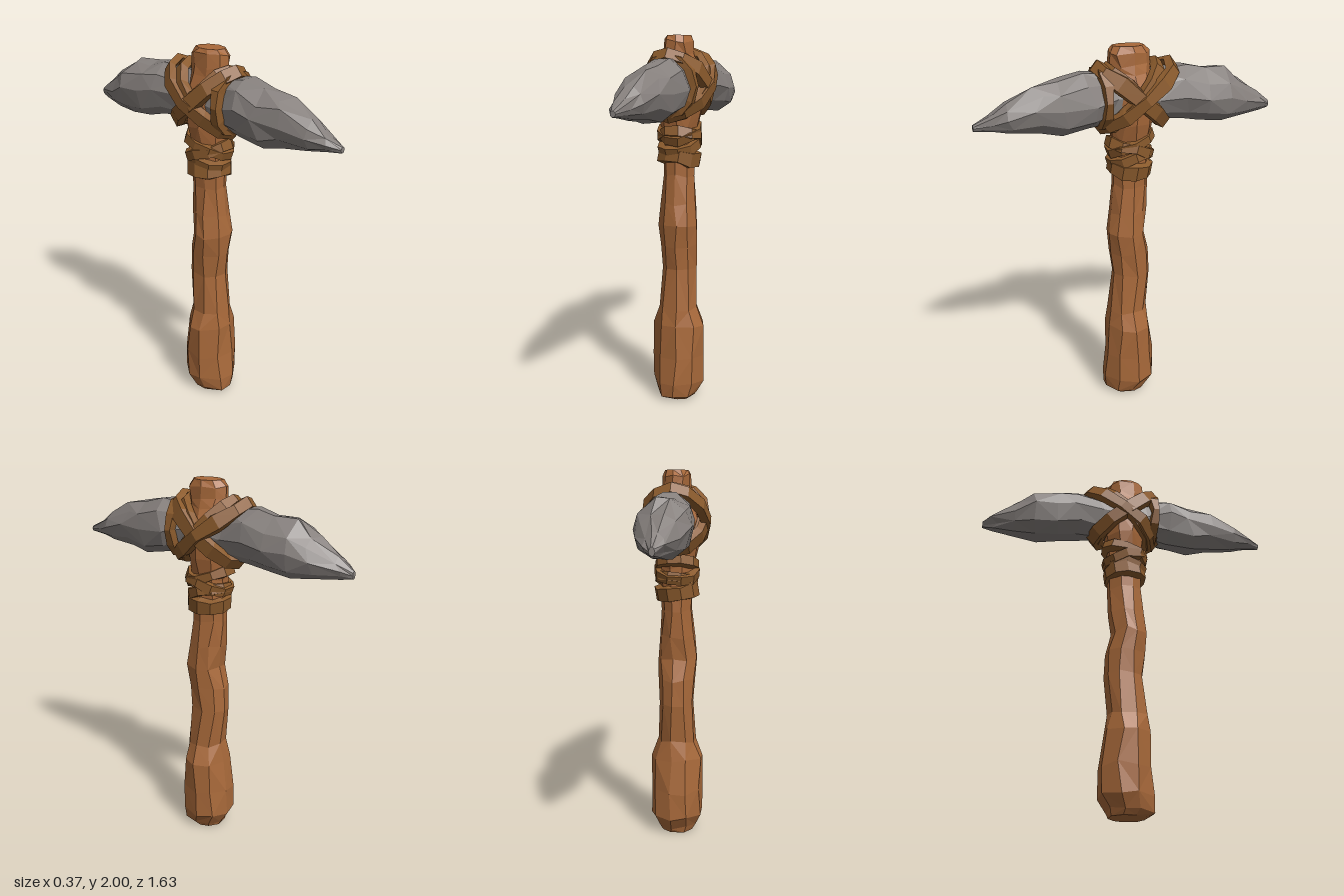
import * as THREE from 'three';

const V = (x, y, z) => new THREE.Vector3(x, y, z);
const material = (color) => new THREE.MeshStandardMaterial({ color, flatShading: true });
const wood = material(0xa8693a), stone = material(0x86807d), hide = material(0x8a5a2c);

// small seeded generator for hand-hewn irregularity, returns -1..1
function seeded(seed) {
  let s = seed * 7919 + 17;
  return () => ((s = (s * 16807) % 2147483647) / 2147483647) * 2 - 1;
}

// skin a list of equal-length cross-sections; closed joins last to first, otherwise ends are capped
function loft(name, rings, mat, closed = false) {
  const n = rings[0].length, m = rings.length;
  const points = rings.flat(), index = [];
  for (let i = 0; i < (closed ? m : m - 1); i++) {
    for (let j = 0; j < n; j++) {
      const k = (j + 1) % n, next = ((i + 1) % m) * n;
      const a = i * n + j, b = i * n + k, c = next + j, d = next + k;
      if ((i + j) % 2) index.push(a, c, b, b, c, d);
      else index.push(a, c, d, a, d, b);
    }
  }
  if (!closed) {
    for (const i of [0, m - 1]) {
      const centre = rings[i].reduce((s, p) => s.add(p), V(0, 0, 0)).divideScalar(n);
      const c = points.push(centre) - 1;
      for (let j = 0; j < n; j++) {
        const a = i * n + j, b = i * n + (j + 1) % n;
        if (i === 0) index.push(c, a, b);
        else index.push(c, b, a);
      }
    }
  }
  const geometry = new THREE.BufferGeometry().setFromPoints(points);
  geometry.setIndex(index);
  geometry.computeVertexNormals();
  const mesh = new THREE.Mesh(geometry, mat);
  mesh.name = name;
  return mesh;
}

// flat strap looped along an ellipse with half axes u and v
function strap(name, centre, u, v, width, thick, seed, steps = 12) {
  const rnd = seeded(seed);
  const normal = u.clone().cross(v).normalize();
  const rings = [];
  for (let i = 0; i < steps; i++) {
    const t = (i / steps) * Math.PI * 2;
    const spoke = u.clone().multiplyScalar(Math.cos(t)).addScaledVector(v, Math.sin(t));
    const out = spoke.clone().normalize();
    const mid = centre.clone().add(spoke).addScaledVector(normal, rnd() * 0.008);
    const w = width / 2 * (1 + rnd() * 0.18), h = thick / 2 * (1 + rnd() * 0.15);
    rings.push([[1, -0.8], [1, 0.8], [-1, 1], [-1, -1]].map(([r, s]) =>
      mid.clone().addScaledVector(out, r * h).addScaledVector(normal, s * w)));
  }
  return loft(name, rings, hide, true);
}

function handle() {
  // y, half width, front z, back z
  const sections = [
    [0, 0.09, 0.11, -0.08], [0.03, 0.11, 0.155, -0.09], [0.1, 0.14, 0.158, -0.135],
    [0.25, 0.142, 0.145, -0.132], [0.43, 0.138, 0.135, -0.105], [0.53, 0.102, 0.128, -0.09],
    [0.75, 0.09, 0.105, -0.105], [0.88, 0.097, 0.115, -0.1], [1.0, 0.106, 0.13, -0.072],
    [1.12, 0.095, 0.115, -0.085], [1.27, 0.08, 0.098, -0.092], [1.5, 0.09, 0.1, -0.095],
    [1.6, 0.115, 0.11, -0.11], [1.75, 0.125, 0.12, -0.12], [1.87, 0.085, 0.105, -0.1],
    [1.91, 0.075, 0.118, -0.1], [1.97, 0.073, 0.118, -0.1], [2.0, 0.06, 0.095, -0.07],
  ];
  const rnd = seeded(3), sides = 9;
  return loft('handle', sections.map(([y, w, front, back]) => {
    const ring = [];
    for (let j = 0; j < sides; j++) {
      const a = (j / sides) * Math.PI * 2 + rnd() * 0.1, k = 1.03 + rnd() * 0.04;
      const level = y > 0 && y < 2 ? rnd() * 0.012 : 0;
      ring.push(V(Math.cos(a) * w * k, y + level, (front + back) / 2 + Math.sin(a) * (front - back) / 2 * k));
    }
    return ring;
  }), wood);
}

function stoneHead() {
  // z, half width, bottom y, top y
  const sections = [
    [-0.815, 0.014, 1.61, 1.65], [-0.75, 0.05, 1.6, 1.71], [-0.62, 0.105, 1.58, 1.79],
    [-0.52, 0.135, 1.565, 1.855], [-0.4, 0.14, 1.58, 1.865], [-0.28, 0.122, 1.6, 1.89],
    [-0.14, 0.1, 1.61, 1.87], [0.12, 0.1, 1.61, 1.87], [0.24, 0.132, 1.595, 1.89],
    [0.38, 0.122, 1.57, 1.855], [0.5, 0.1, 1.595, 1.835], [0.64, 0.075, 1.61, 1.765],
    [0.74, 0.045, 1.625, 1.71], [0.815, 0.014, 1.635, 1.665],
  ];
  const rnd = seeded(11), sides = 10;
  return loft('stoneHead', sections.map(([z, w, low, high]) => {
    const ring = [];
    for (let j = 0; j < sides; j++) {
      const a = (j / sides) * Math.PI * 2 + rnd() * 0.13, k = 1.02 + rnd() * 0.05;
      const shift = Math.abs(z) < 0.8 ? rnd() * 0.025 : 0;
      ring.push(V(Math.cos(a) * w * k, (low + high) / 2 - Math.sin(a) * (high - low) / 2 * k, z + shift));
    }
    return ring;
  }), stone);
}

export function createModel() {
  const group = new THREE.Group();
  group.name = 'stonePick';
  group.add(handle(), stoneHead());

  // crossed lashing over the head: top z, top y, bottom z, bottom y, half width, strap width
  const lashing = new THREE.Group();
  lashing.name = 'headLashing';
  [
    [0.185, 1.895, -0.18, 1.595, 0.155, 0.085],
    [-0.225, 1.895, 0.17, 1.595, 0.163, 0.08],
    [0.125, 1.9, -0.155, 1.6, 0.14, 0.055],
    [-0.14, 1.905, 0.14, 1.59, 0.145, 0.06],
    [0.165, 1.89, 0.155, 1.6, 0.135, 0.05],
  ].forEach(([z1, y1, z2, y2, w, width], i) => {
    const centre = V(0, (y1 + y2) / 2, (z1 + z2) / 2);
    const axis = V(0, (y1 - y2) / 2, (z1 - z2) / 2);
    lashing.add(strap('headStrap' + (i + 1), centre, V(w, 0, 0), axis, width, 0.042, i + 5));
  });
  group.add(lashing);

  // collar wrapped round the handle below the head: y, x tilt, z tilt, half width, half depth, strap width
  const collar = new THREE.Group();
  collar.name = 'handleCollar';
  [
    [1.365, -0.015, 0.012, 0.098, 0.1, 0.085],
    [1.425, 0.01, -0.03, 0.094, 0.102, 0.06],
    [1.47, 0.012, 0.035, 0.103, 0.108, 0.06],
    [1.505, -0.008, -0.04, 0.1, 0.113, 0.055],
  ].forEach(([y, tiltX, tiltZ, w, d, width], i) => {
    collar.add(strap('collarStrap' + (i + 1), V(0, y, 0.004), V(w, tiltX, 0), V(0, tiltZ, d), width, 0.04, i + 21, 10));
  });
  group.add(collar);
  return group;
}
